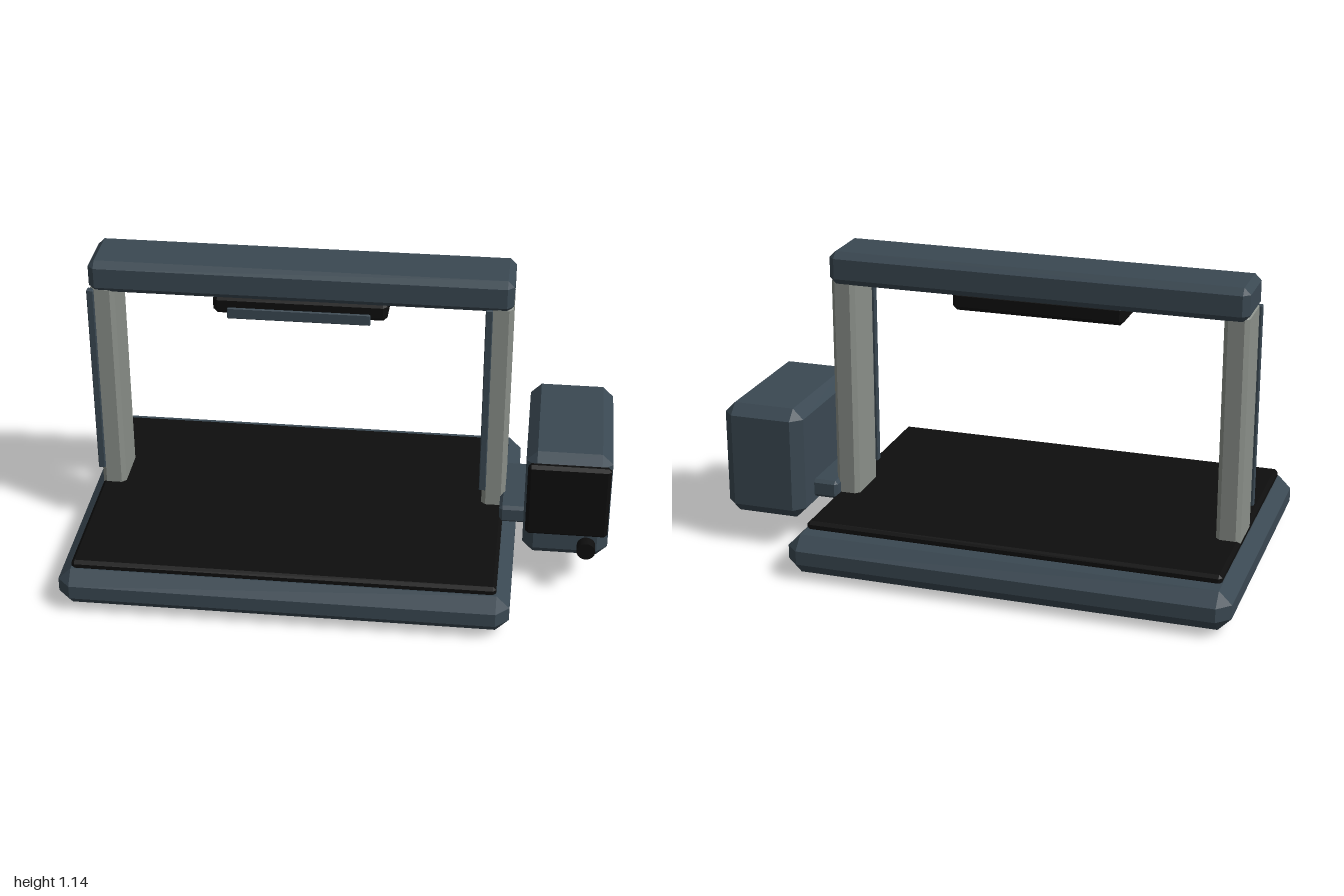
import * as THREE from 'three';
import { ConvexGeometry } from 'three/addons/geometries/ConvexGeometry.js';

const slate = new THREE.MeshStandardMaterial({ name: 'slate', color: 0x3a4852 });
const black = new THREE.MeshStandardMaterial({ name: 'black', color: 0x0e0e0e });
const grey = new THREE.MeshStandardMaterial({ name: 'warmGrey', color: 0x8a8f89 });

// Box with every edge cut at 45 degrees, given by its [min, max] extents
function chamferBox(name, material, xr, yr, zr, c) {
  const half = [xr, yr, zr].map(([a, b]) => (b - a) / 2);
  const mid = [xr, yr, zr].map(([a, b]) => (a + b) / 2);
  const points = [];
  for (const sx of [-1, 1]) for (const sy of [-1, 1]) for (const sz of [-1, 1])
    for (let axis = 0; axis < 3; axis++) {
      const p = half.map((h, i) => (i === axis ? h : h - c));
      points.push(new THREE.Vector3(sx * p[0], sy * p[1], sz * p[2]));
    }
  const mesh = new THREE.Mesh(new ConvexGeometry(points), material);
  mesh.position.set(...mid);
  mesh.name = name;
  return mesh;
}

function cylinder(name, material, radius, length, x, y, z, alongZ) {
  const geometry = new THREE.CylinderGeometry(radius, radius, length, 20);
  if (alongZ) geometry.rotateX(Math.PI / 2);
  const mesh = new THREE.Mesh(geometry, material);
  mesh.position.set(x, y, z);
  mesh.name = name;
  return mesh;
}

export function createModel() {
  const model = new THREE.Group();
  model.name = 'gantryMachine';

  // Base, bed and feet
  model.add(
    chamferBox('base', slate, [-1, 0.65], [0.015, 0.163], [-0.6, 0.6], 0.048),
    chamferBox('bed', black, [-0.95, 0.6], [0.155, 0.193], [-0.5, 0.55], 0.012),
  );
  for (const x of [-0.855, 0.51]) for (const z of [-0.455, 0.455])
    model.add(cylinder('foot', black, 0.037, 0.025, x, 0.0125, z, false));

  // Posts with a guide strip on the front
  for (const [x, strip] of [[-0.95, -0.96], [0.515, 0.505]]) {
    model.add(
      chamferBox('post', grey, [x, x + 0.09], [0.165, 1.04], [-0.197, 0.0], 0.016),
      chamferBox('guideStrip', slate, [strip, strip + 0.026], [0.26, 1.025], [-0.015, 0.01], 0.003),
    );
  }

  // Cross beam and the head hanging under it
  model.add(
    chamferBox('beam', slate, [-0.952, 0.605], [1.016, 1.14], [-0.22, 0.015], 0.024),
    chamferBox('head', black, [-0.495, 0.148], [0.945, 1.018], [-0.16, -0.01], 0.016),
    chamferBox('headPlate', slate, [-0.435, 0.09], [0.95, 0.993], [0.021, 0.031], 0.003),
  );

  // Control unit on its side bracket
  model.add(
    chamferBox('bracket', slate, [0.587, 0.7], [0.175, 0.245], [-0.235, 0.092], 0.012),
    chamferBox('controlBox', slate, [0.68, 0.995], [0.12, 0.555], [-0.355, 0.222], 0.04),
    chamferBox('screen', black, [0.688, 0.99], [0.233, 0.528], [0.212, 0.248], 0.012),
    cylinder('knobShaft', slate, 0.015, 0.04, 0.915, 0.2, 0.235, true),
    cylinder('knob', black, 0.034, 0.044, 0.915, 0.2, 0.267, true),
  );
  return model;
}
